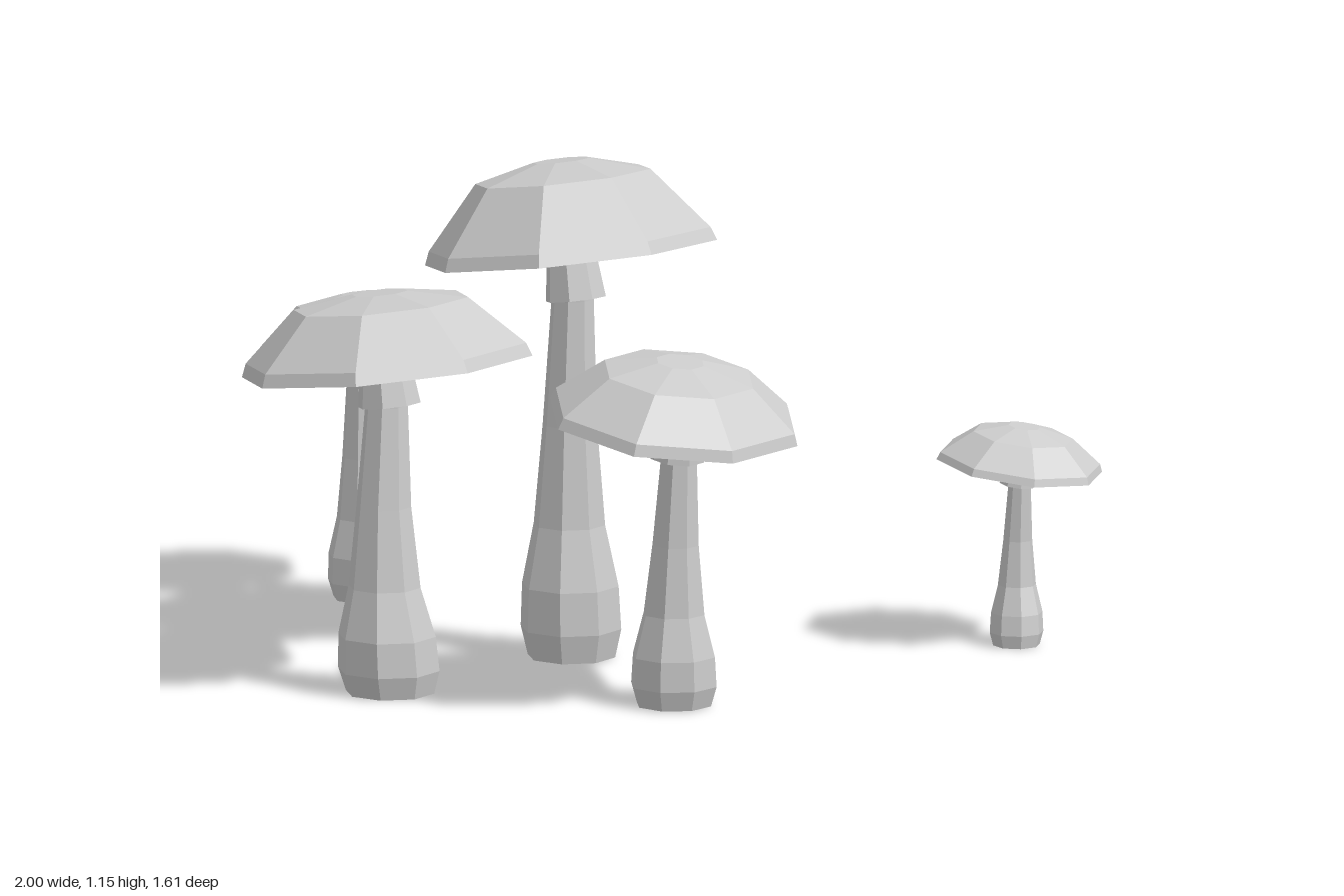
import * as THREE from 'three';

const SIDES = 8;
const V2 = (x, y) => new THREE.Vector2(x, y);

// base: stem foot [x, z]; mid / neck: stem centre [x, z] higher up; neckY: height of the collar's lower edge
// cap: rim centre [x, y, z]; slope: rise of the rim along x and z; ring / top: dome heights above the rim
const MUSHROOMS = [
  { name: 'tallMushroom', base: [-0.15, 0], mid: [-0.155, 0.005], neck: [-0.147, 0], neckY: 0.83, foot: 0.117,
    collar: 0.07, cap: [-0.155, 0.932, -0.02], r: 0.342, slope: [0.13, 0.095], ring: 0.175, top: 0.212, yaw: 0 },
  { name: 'leftMushroom', base: [-0.47, 0.48], mid: [-0.485, 0.49], neck: [-0.48, 0.47], neckY: 0.665, foot: 0.118,
    collar: 0.073, cap: [-0.48, 0.752, 0.463], r: 0.34, slope: [0.117, 0.063], ring: 0.145, top: 0.17, yaw: 0 },
  { name: 'rightMushroom', base: [0.19, 0.48], mid: [0.193, 0.49], neck: [0.205, 0.495], neckY: 0.575, foot: 0.102,
    collar: 0.066, cap: [0.195, 0.66, 0.502], r: 0.297, slope: [-0.12, -0.088], ring: 0.115, top: 0.145, yaw: -0.1 },
  { name: 'backMushroom', base: [-0.74, -0.537], mid: [-0.748, -0.535], neck: [-0.748, -0.532], neckY: 0.505, foot: 0.089,
    collar: 0.056, cap: [-0.743, 0.573, -0.555], r: 0.258, slope: [0.12, 0.095], ring: 0.11, top: 0.13, yaw: -0.03 },
  { name: 'smallMushroom', base: [0.815, -0.33], mid: [0.812, -0.35], neck: [0.82, -0.34], neckY: 0.37, foot: 0.062,
    collar: 0.042, cap: [0.82, 0.415, -0.337], r: 0.193, slope: [-0.13, -0.015], ring: 0.072, top: 0.093, yaw: Math.PI / 8 },
];

// Stem rings: [fraction of height, fraction of foot radius]
const STEM = [[0, 0.87], [0.08, 1], [0.2, 0.96], [0.37, 0.71], [0.65, 0.54], [1, 0.42]];

function createStem(m, height) {
  const points = [V2(0, 0), ...STEM.map(([h, r]) => V2(r * m.foot, h * m.neckY)), V2(0.42 * m.foot, height)];
  const geo = new THREE.LatheGeometry(points, SIDES).rotateY(m.yaw);
  // Bend the stem from foot through the middle to the neck
  const pos = geo.attributes.position;
  const lerp = THREE.MathUtils.lerp;
  for (let i = 0; i < pos.count; i++) {
    const t = Math.min(pos.getY(i) / m.neckY, 1);
    const [a, b, k] = t < 0.5 ? [m.base, m.mid, t * 2] : [m.mid, m.neck, t * 2 - 1];
    pos.setX(i, pos.getX(i) + lerp(a[0], b[0], k));
    pos.setZ(i, pos.getZ(i) + lerp(a[1], b[1], k));
  }
  geo.computeVertexNormals();
  return geo;
}

// Hollow underside, slanted rim band, then the faceted dome
function createCap({ r, ring, top }) {
  return new THREE.LatheGeometry([
    V2(0, 0.1 * r), V2(r, 0), V2(0.965 * r, 0.09 * r),
    V2(0.6 * r, ring), V2(0.19 * r, top), V2(0, top),
  ], SIDES);
}

export function createModel() {
  const grey = new THREE.MeshStandardMaterial({ color: 0xcccccc, flatShading: true });
  grey.name = 'lightGrey';
  const model = new THREE.Group();
  model.name = 'mushroomCluster';

  for (const m of MUSHROOMS) {
    const group = new THREE.Group();
    group.name = m.name;
    const add = (name, geo) => {
      const mesh = new THREE.Mesh(geo, grey);
      mesh.name = name;
      group.add(mesh);
      return mesh;
    };
    const [cx, cy, cz] = m.cap;
    const tilt = new THREE.Quaternion().setFromUnitVectors(
      new THREE.Vector3(0, 1, 0), new THREE.Vector3(-m.slope[0], 1, -m.slope[1]).normalize());
    const turn = new THREE.Quaternion().setFromAxisAngle(new THREE.Vector3(0, 1, 0), m.yaw);
    tilt.multiply(turn);

    add('stem', createStem(m, cy + 0.05 * m.r));

    // Flared skirt under the cap
    const height = cy + 0.12 * m.r - m.neckY;
    const collar = add('collar', new THREE.CylinderGeometry(m.collar * 0.76, m.collar, height, SIDES));
    collar.position.set(m.neck[0], m.neckY + height / 2, m.neck[1]);
    collar.quaternion.copy(tilt);

    const cap = add('cap', createCap(m));
    cap.position.set(cx, cy, cz);
    cap.quaternion.copy(tilt);
    model.add(group);
  }
  return model;
}
